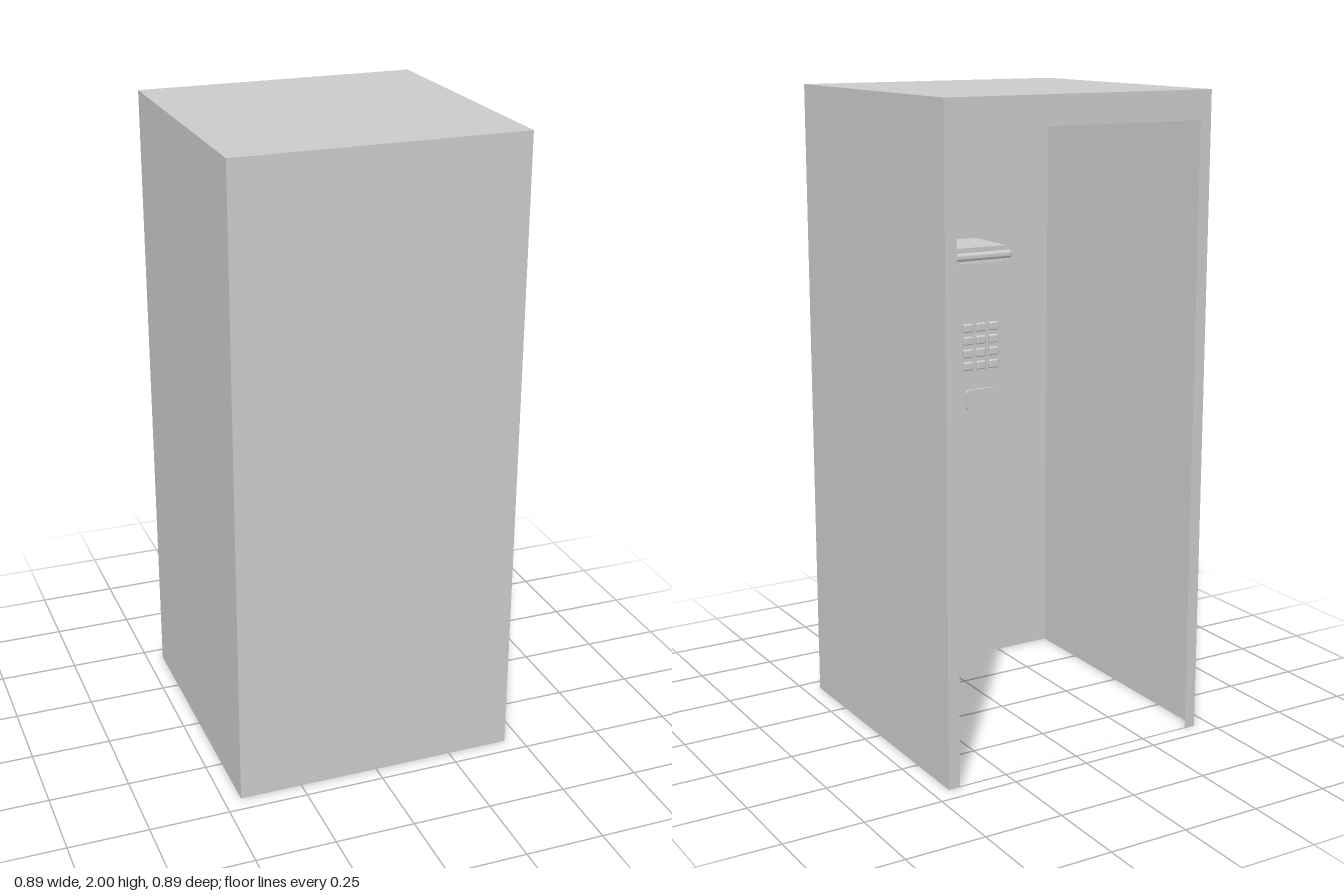
import * as THREE from 'three';
import { RoundedBoxGeometry } from 'three/addons/geometries/RoundedBoxGeometry.js';

const H = 2, HALF = 0.447;
const solid = new THREE.MeshStandardMaterial({ color: 0xcccccc });
const sheet = new THREE.MeshStandardMaterial({ color: 0xcccccc, side: THREE.DoubleSide });

function add(parent, name, geometry, x = 0, y = 0, z = 0, material = solid) {
  const mesh = new THREE.Mesh(geometry, material);
  mesh.name = name;
  mesh.position.set(x, y, z);
  parent.add(mesh);
  return mesh;
}

// Rectangle with rounded corners, centred on the origin
function roundedRect(w, h, r) {
  const s = new THREE.Shape();
  const a = w / 2 - r, b = h / 2 - r;
  s.absarc(a, b, r, 0, Math.PI / 2);
  s.absarc(-a, b, r, Math.PI / 2, Math.PI);
  s.absarc(-a, -b, r, Math.PI, Math.PI * 1.5);
  s.absarc(a, -b, r, Math.PI * 1.5, Math.PI * 2);
  s.closePath();
  return s;
}

function plate(w, h, r, depth) {
  return new THREE.ExtrudeGeometry(roundedRect(w, h, r), { depth, bevelEnabled: false, curveSegments: 8 });
}

function rectangle(path, x0, y0, x1, y1) {
  path.moveTo(x0, y0);
  path.lineTo(x1, y0);
  path.lineTo(x1, y1);
  path.lineTo(x0, y1);
  path.closePath();
  return path;
}

// Thin sheet shell: open at the bottom, doorway at the back
function createBooth() {
  const booth = new THREE.Group();
  booth.name = 'booth';
  const wall = new THREE.PlaneGeometry(HALF * 2, H);
  add(booth, 'frontWall', wall, 0, H / 2, HALF, sheet);
  for (const side of [-1, 1]) {
    const m = add(booth, side > 0 ? 'leftWall' : 'rightWall', wall, side * HALF, H / 2, 0, sheet);
    m.rotation.y = side * Math.PI / 2;
  }
  const roof = add(booth, 'roof', new THREE.PlaneGeometry(HALF * 2, HALF * 2), 0, H, 0, sheet);
  roof.rotation.x = -Math.PI / 2;

  const frame = rectangle(new THREE.Shape(), -HALF, 0, HALF, H);
  frame.holes.push(rectangle(new THREE.Path(), -0.41, 0.004, 0.41, 1.912));
  const door = add(booth, 'doorFrame', new THREE.ShapeGeometry(frame), 0, 0, -HALF, sheet);
  door.rotation.y = Math.PI;
  return booth;
}

// Receiver with two cups joined by a bowed grip
function createHandset() {
  const handset = new THREE.Group();
  handset.name = 'handset';
  const cup = new THREE.LatheGeometry([
    new THREE.Vector2(0, 0), new THREE.Vector2(0.036, 0), new THREE.Vector2(0.042, 0.012),
    new THREE.Vector2(0.038, 0.034), new THREE.Vector2(0.022, 0.048), new THREE.Vector2(0, 0.05),
  ], 24);
  for (const end of [-1, 1]) {
    const m = add(handset, end > 0 ? 'earpiece' : 'mouthpiece', cup, 0, end * 0.105, 0);
    m.rotation.x = Math.PI / 2;
  }
  const bow = new THREE.CatmullRomCurve3([
    new THREE.Vector3(0, -0.11, 0.032), new THREE.Vector3(0, -0.05, 0.048),
    new THREE.Vector3(0, 0.05, 0.048), new THREE.Vector3(0, 0.11, 0.032),
  ]);
  add(handset, 'grip', new THREE.TubeGeometry(bow, 20, 0.019, 12));
  return handset;
}

// Wall telephone, built facing +z with its back at z = 0
function createTelephone() {
  const phone = new THREE.Group();
  phone.name = 'telephone';
  const face = 0.2;
  add(phone, 'housing', plate(0.405, 0.6, 0.04, face));
  add(phone, 'header', new RoundedBoxGeometry(0.37, 0.025, 0.03, 3, 0.01), 0, 0.272, face);
  add(phone, 'upperPanel', plate(0.37, 0.16, 0.015, 0.008), 0, 0.172, face);

  const handset = createHandset();
  handset.position.set(-0.13, -0.09, face + 0.008);
  phone.add(handset);
  add(phone, 'cradle', plate(0.09, 0.29, 0.04, 0.01), -0.13, -0.09, face);

  // Keypad of three by four buttons
  const key = new RoundedBoxGeometry(0.034, 0.028, 0.016, 2, 0.005);
  for (let row = 0; row < 4; row++) {
    for (let col = 0; col < 3; col++) {
      add(phone, 'key', key, 0.02 + col * 0.048, 0.04 - row * 0.042, face + 0.004);
    }
  }
  add(phone, 'coinReturn', plate(0.11, 0.07, 0.012, 0.01), 0.068, -0.2, face);

  // Cord from the mouthpiece to the housing
  const cord = new THREE.CatmullRomCurve3([
    new THREE.Vector3(-0.13, -0.23, face + 0.02), new THREE.Vector3(-0.1, -0.27, face + 0.02),
    new THREE.Vector3(-0.04, -0.26, face + 0.015), new THREE.Vector3(-0.03, -0.22, face),
  ]);
  add(phone, 'cord', new THREE.TubeGeometry(cord, 24, 0.006, 8));
  return phone;
}

export function createModel() {
  const model = new THREE.Group();
  model.name = 'telephoneBooth';
  model.add(createBooth());

  // The telephone hangs inside the front wall and faces the doorway
  const phone = createTelephone();
  phone.rotation.y = Math.PI;
  phone.position.set(0.005, 1.18, HALF - 0.001);
  model.add(phone);
  return model;
}
